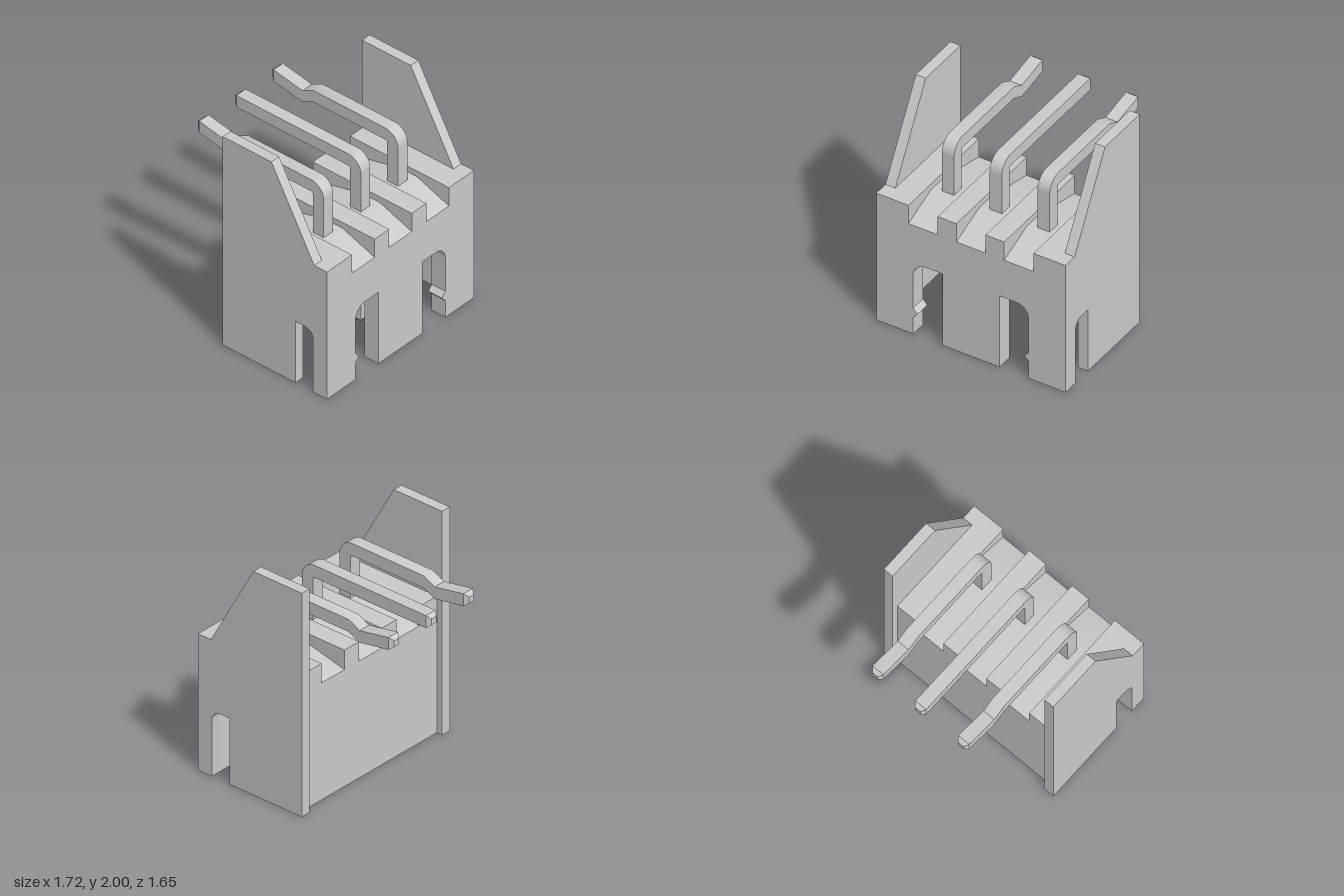
import * as THREE from 'three';
import { toCreasedNormals } from 'three/addons/utils/BufferGeometryUtils.js';

const housingMat = new THREE.MeshStandardMaterial({ color: 0xcccccc });
const pinMat = new THREE.MeshStandardMaterial({ color: 0xcccccc });

const W = 0.86, T = 0.09, INNER = W - T;        // half width, side plate thickness
const BACK = -0.18, FRONT = 0.825, FRONT_IN = 0.685, BACK_IN = -0.09;
const TOP = 1.22, CEILING = 0.685, GROOVE_Y = 1.045, GROOVE = 0.1325;
const PINS = [-0.435, 0, 0.435], P = 0.055;     // pin centres, half thickness

function polygon(points) {
  return new THREE.Shape(points.map(([a, b]) => new THREE.Vector2(a, b)));
}

function extrude(shape, depth) {
  const g = new THREE.ExtrudeGeometry(shape, { depth, bevelEnabled: false, curveSegments: 10 });
  return toCreasedNormals(g, 0.5);
}

// Profile drawn in (z, y), extruded from x0 to x1
function alongX(shape, x0, x1) {
  return extrude(shape, x1 - x0).rotateY(-Math.PI / 2).translate(x1, 0, 0);
}

// Profile drawn in (x, y), extruded from z0 to z1
function alongZ(shape, z0, z1) {
  return extrude(shape, z1 - z0).translate(0, 0, z0);
}

function add(parent, name, geometry, material) {
  const mesh = new THREE.Mesh(geometry, material);
  mesh.name = name;
  parent.add(mesh);
  return mesh;
}

// Top outline with three grooves, traced from right to left
function grooveTop(shape) {
  shape.lineTo(INNER, TOP);
  for (const x of [...PINS].reverse()) {
    shape.lineTo(x + GROOVE, TOP);
    shape.lineTo(x + GROOVE, GROOVE_Y);
    shape.lineTo(x - GROOVE, GROOVE_Y);
    shape.lineTo(x - GROOVE, TOP);
  }
  shape.lineTo(-INNER, TOP);
}

function frontWallShape() {
  const s = new THREE.Shape(), a = 0.26, b = 0.525, r = 0.115, h = CEILING;
  s.moveTo(-INNER, 0);
  // left window with rounded outer corner and small pointed catch
  s.lineTo(-b, 0);
  s.lineTo(-b, 0.16);
  s.lineTo(-0.485, 0.205);
  s.lineTo(-b, 0.25);
  s.lineTo(-b, h - r);
  s.absarc(-b + r, h - r, r, Math.PI, Math.PI / 2, true);
  s.lineTo(-a, h);
  s.lineTo(-a, 0);
  // mirrored right window
  s.lineTo(a, 0);
  s.lineTo(a, h);
  s.lineTo(b - r, h);
  s.absarc(b - r, h - r, r, Math.PI / 2, 0, true);
  s.lineTo(b, 0.25);
  s.lineTo(0.485, 0.205);
  s.lineTo(b, 0.16);
  s.lineTo(b, 0);
  s.lineTo(INNER, 0);
  grooveTop(s);
  return s;
}

function sidePlateShape() {
  const s = new THREE.Shape(), r = 0.09, h = 0.59;
  s.moveTo(-0.235, 0);
  s.lineTo(0.505, 0);
  s.lineTo(0.505, h);
  s.lineTo(FRONT_IN - r, h);
  s.absarc(FRONT_IN - r, h - r, r, Math.PI / 2, 0, true);
  s.lineTo(FRONT_IN, 0);
  s.lineTo(FRONT, 0);
  s.lineTo(FRONT, TOP);
  s.lineTo(0.695, TOP);
  s.lineTo(0.26, 2);
  s.lineTo(-0.235, 2);
  return s;
}

// Bent square pin seen from the side; kinked pins dip near the tail
function pinShape(kinked) {
  const s = new THREE.Shape(), zo = 0.47, zi = 0.36, yo = 1.66, yi = 1.55, ro = 0.13, ri = 0.02;
  s.moveTo(zi, 0.125);
  s.lineTo(zo, 0.125);
  s.lineTo(zo, yo - ro);
  s.absarc(zo - ro, yo - ro, ro, 0, Math.PI / 2, false);
  if (kinked) {
    s.lineTo(-0.39, yo);
    s.lineTo(-0.5, 1.605);
  }
  s.lineTo(-0.795, yo);
  s.lineTo(-0.795, yi);
  if (kinked) {
    s.lineTo(-0.5, 1.497);
    s.lineTo(-0.39, yi);
  }
  s.lineTo(zi - ri, yi);
  s.absarc(zi - ri, yi - ri, ri, Math.PI / 2, 0, true);
  return s;
}

// Tapered square tip, pointing along +y from its base at the origin
function pinTip() {
  const k = Math.SQRT2, h = 0.035;
  return new THREE.CylinderGeometry(0.028 * k, P * k, h, 4, 1).toNonIndexed()
    .rotateY(Math.PI / 4).translate(0, h / 2, 0);
}

export function createModel() {
  const model = new THREE.Group();
  model.name = 'pinHeader';

  const housing = new THREE.Group();
  housing.name = 'housing';
  model.add(housing);

  // Side plates with sloped upper edge and bottom slot
  add(housing, 'leftSidePlate', alongX(sidePlateShape(), INNER, W), housingMat);
  add(housing, 'rightSidePlate', alongX(sidePlateShape(), -W, -INNER), housingMat);

  add(housing, 'frontWall', alongZ(frontWallShape(), FRONT_IN, FRONT), housingMat);

  // Solid upper block, its underside is the cavity ceiling
  const block = new THREE.Shape();
  block.moveTo(-INNER, CEILING);
  block.lineTo(INNER, CEILING);
  grooveTop(block);
  add(housing, 'upperBlock', alongZ(block, BACK, FRONT_IN), housingMat);

  // Back wall with chamfered inner lower edge
  const back = polygon([[BACK, 0], [BACK_IN - 0.035, 0], [BACK_IN, 0.035], [BACK_IN, CEILING], [BACK, CEILING]]);
  add(housing, 'backWall', alongX(back, -INNER, INNER), housingMat);

  // Raised groove floors, sloping down to the front and back
  const ramp = polygon([[BACK, GROOVE_Y], [FRONT, GROOVE_Y], [0.5, 1.165], [0.33, 1.165]]);
  for (const x of PINS) {
    add(housing, 'grooveFloor', alongX(ramp, x - GROOVE, x + GROOVE), housingMat);
  }

  // Three bent pins, the outer two with a kinked tail
  for (const x of PINS) {
    const pin = new THREE.Group();
    pin.name = x === 0 ? 'straightPin' : 'kinkedPin';
    pin.position.x = x;
    add(pin, 'pinBody', alongX(pinShape(x !== 0), -P, P), pinMat);
    const tail = add(pin, 'tailTip', pinTip().rotateX(-Math.PI / 2), pinMat);
    tail.position.set(0, 1.605, -0.795);
    const contact = add(pin, 'contactTip', pinTip().rotateX(Math.PI), pinMat);
    contact.position.set(0, 0.125, 0.415);
    for (const tip of [tail, contact]) tip.geometry.computeVertexNormals();
    model.add(pin);
  }

  return model;
}
